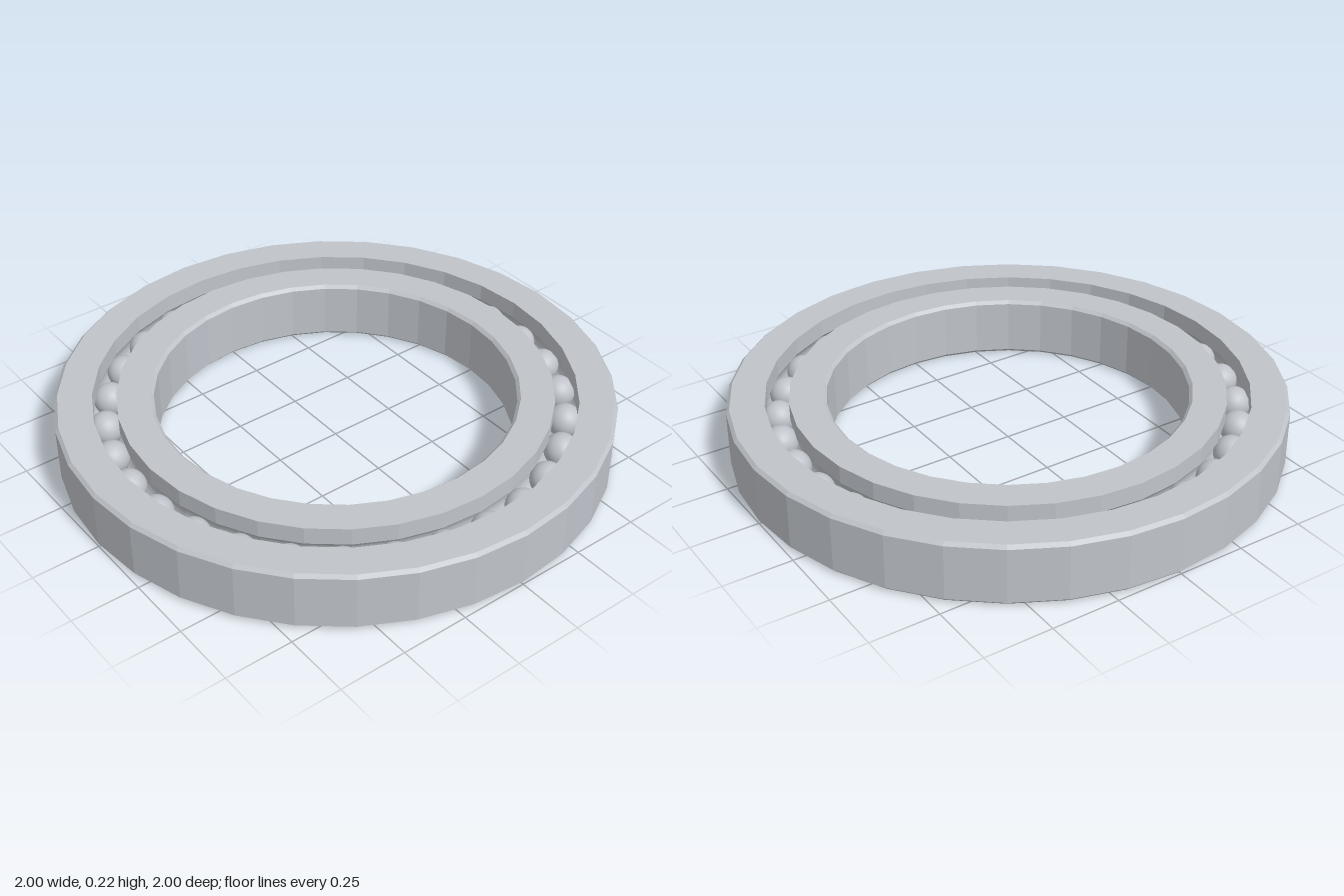
import * as THREE from 'three';

const HEIGHT = 0.225, CHAMFER = 0.012;
const OUTER = 1, BORE = 0.648;
const GAP_IN = 0.78, GAP_OUT = 0.865;
const PITCH = 0.8225, BALL = 0.062, GROOVE = 0.064;
const BALLS = 30, SIDES = 32;

// Raceway arc between the ring faces, bulging outward (+1) or inward (-1)
function groove(wall, side) {
  const half = Math.acos(Math.abs(wall - PITCH) / GROOVE);
  const points = [];
  for (let i = 0; i <= 8; i++) {
    const a = half * (1 - i / 4);
    points.push([PITCH + side * GROOVE * Math.cos(a), HEIGHT / 2 + side * GROOVE * Math.sin(a)]);
  }
  return points;
}

// Faceted ring turned from a closed, counter-clockwise profile
function ring(name, profile, material) {
  const points = [...profile, profile[0]].map(([r, y]) => new THREE.Vector2(r, y));
  const geometry = new THREE.LatheGeometry(points, SIDES).toNonIndexed();
  geometry.computeVertexNormals();
  const mesh = new THREE.Mesh(geometry, material);
  mesh.name = name;
  return mesh;
}

export function createModel() {
  const model = new THREE.Group();
  model.name = 'ballBearing';
  const steel = new THREE.MeshStandardMaterial({ color: 0xc0c4ca });
  steel.name = 'steel';

  // Outer race, chamfered on the outside edges
  model.add(ring('outerRing', [
    [GAP_OUT, 0], [OUTER - CHAMFER, 0], [OUTER, CHAMFER],
    [OUTER, HEIGHT - CHAMFER], [OUTER - CHAMFER, HEIGHT], [GAP_OUT, HEIGHT],
    ...groove(GAP_OUT, 1),
  ], steel));

  // Inner race, chamfered on the bore edges
  model.add(ring('innerRing', [
    [BORE + CHAMFER, 0], [GAP_IN, 0],
    ...groove(GAP_IN, -1),
    [GAP_IN, HEIGHT], [BORE + CHAMFER, HEIGHT],
    [BORE, HEIGHT - CHAMFER], [BORE, CHAMFER],
  ], steel));

  // Balls evenly spaced around the raceway
  const balls = new THREE.Group();
  balls.name = 'balls';
  const ballGeometry = new THREE.SphereGeometry(BALL, 32, 16);
  for (let i = 0; i < BALLS; i++) {
    const a = (i / BALLS) * Math.PI * 2;
    const ball = new THREE.Mesh(ballGeometry, steel);
    ball.name = 'ball';
    ball.position.set(PITCH * Math.cos(a), HEIGHT / 2, PITCH * Math.sin(a));
    balls.add(ball);
  }
  model.add(balls);
  return model;
}
